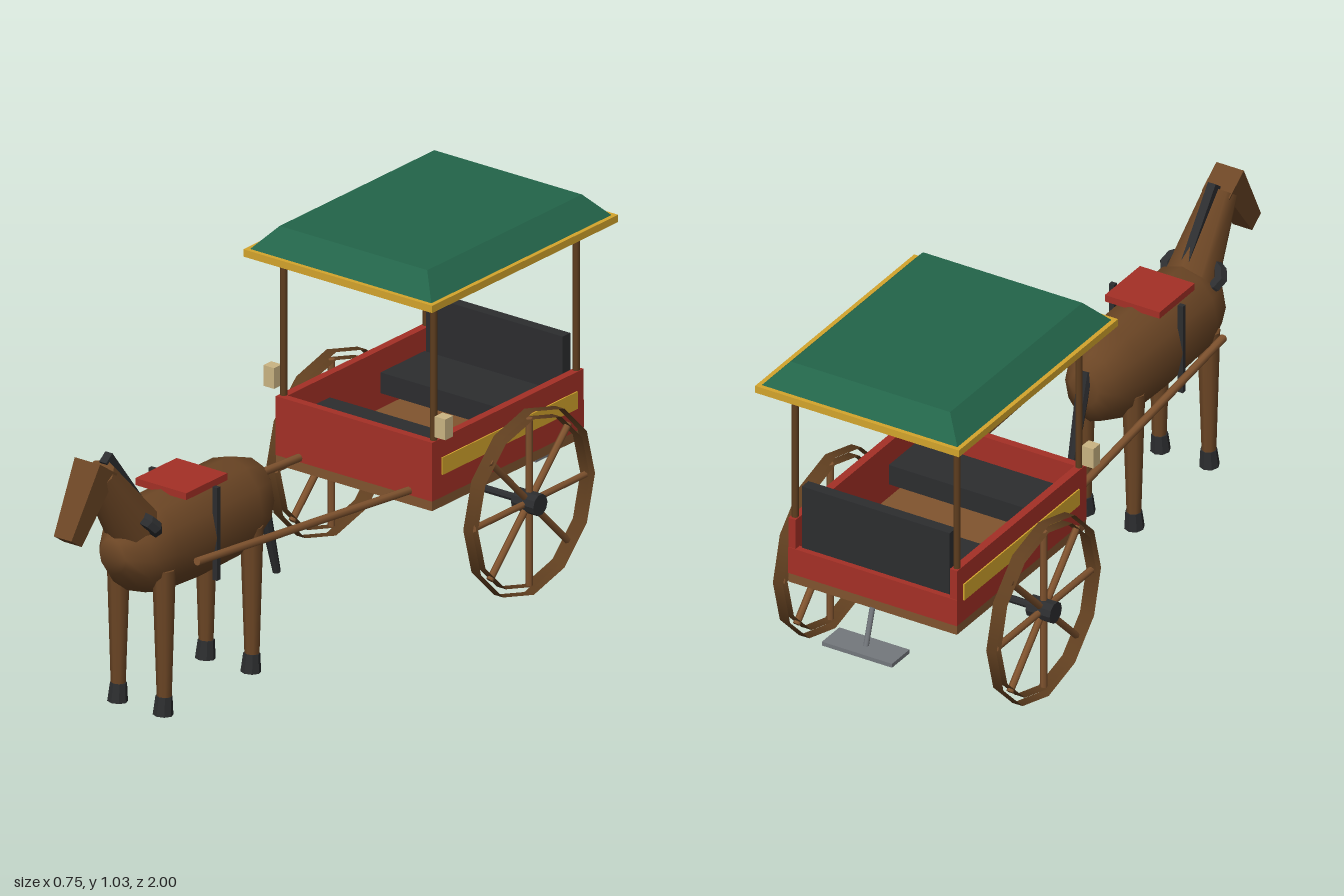
import * as THREE from 'three';

const mat = (name, color, extra = {}) => {
  const m = new THREE.MeshStandardMaterial({ color, ...extra });
  m.name = name;
  return m;
};

export function createModel() {
  const root = new THREE.Group();
  const flat = { flatShading: true };
  const red = mat('red paint', 0xa53026);
  const green = mat('canopy green', 0x23654a, flat);
  const yellow = mat('yellow trim', 0xd4a52c);
  const black = mat('black leather', 0x2c2d2f, flat);
  const wood = mat('light wood', 0x81542f);
  const darkWood = mat('dark wood', 0x5f3e1f, { side: THREE.DoubleSide });
  const coat = mat('brown coat', 0x6c4625);
  const lampMat = mat('lamp cream', 0xcbb583);
  const steel = mat('step grey', 0x74787d);

  const V = (x, y, z) => new THREE.Vector3(x, y, z);
  const add = (name, geo, material, parent = root) => {
    const m = new THREE.Mesh(geo, material);
    m.name = name;
    parent.add(m);
    return m;
  };
  // Box given by its limits on each axis
  const box = (name, material, x0, x1, y0, y1, z0, z1) => {
    const m = add(name, new THREE.BoxGeometry(x1 - x0, y1 - y0, z1 - z0), material);
    m.position.set((x0 + x1) / 2, (y0 + y1) / 2, (z0 + z1) / 2);
    return m;
  };
  // Tapered rod from a to b
  const rod = (name, material, a, b, ra, rb = ra, sides = 8, parent = root) => {
    const m = add(name, new THREE.CylinderGeometry(rb, ra, a.distanceTo(b), sides), material, parent);
    m.position.copy(a).add(b).multiplyScalar(0.5);
    m.quaternion.setFromUnitVectors(V(0, 1, 0), b.clone().sub(a).normalize());
    return m;
  };
  // Tapered box: half sizes of the lower and upper faces
  const taperedBox = (h, x0, z0, x1, z1) => {
    const g = new THREE.BoxGeometry(2, h, 2);
    const p = g.attributes.position;
    for (let i = 0; i < p.count; i++) {
      const top = p.getY(i) > 0;
      p.setX(i, p.getX(i) * (top ? x1 : x0));
      p.setZ(i, p.getZ(i) * (top ? z1 : z0));
    }
    g.computeVertexNormals();
    return g;
  };

  // Canopy
  box('canopyTrim', yellow, -0.32, 0.32, 0.942, 0.963, -1.0, -0.194);
  add('canopyRoof', taperedBox(0.063, 0.307, 0.39, 0.25, 0.335), green).position.set(0, 0.9945, -0.597);

  // Cart body
  box('chassis', wood, -0.264, 0.264, 0.332, 0.362, -0.92, -0.265);
  box('frontWall', red, -0.265, 0.265, 0.36, 0.53, -0.287, -0.264);
  box('backWall', red, -0.265, 0.265, 0.36, 0.44, -0.922, -0.9);
  box('frontBench', black, -0.235, 0.235, 0.41, 0.47, -0.46, -0.31);
  box('rearBench', black, -0.235, 0.235, 0.41, 0.47, -0.87, -0.68);
  box('seatBack', black, -0.232, 0.232, 0.43, 0.63, -0.905, -0.872);

  // Rear step
  box('stepPlate', steel, -0.11, 0.11, 0.222, 0.234, -1.0, -0.912);
  rod('stepBracket', steel, V(0, 0.335, -0.922), V(0, 0.23, -0.955), 0.008);

  // Axle
  rod('axle', black, V(-0.31, 0.27, -0.595), V(0.31, 0.27, -0.595), 0.011);

  for (const s of [1, -1]) {
    const side = (name, m, x0, x1, ...r) =>
      box(name, m, Math.min(s * x0, s * x1), Math.max(s * x0, s * x1), ...r);
    side('sideWall', red, 0.242, 0.265, 0.36, 0.53, -0.92, -0.265);
    side('sideStripe', yellow, 0.262, 0.269, 0.425, 0.475, -0.89, -0.305);
    side('lamp', lampMat, 0.272, 0.308, 0.548, 0.608, -0.3, -0.266);
    side('axleBracket', black, 0.125, 0.141, 0.275, 0.335, -0.605, -0.585);
    for (const z of [-0.285, -0.903]) {
      rod('canopyPost', darkWood, V(s * 0.254, 0.5, z), V(s * 0.254, 0.945, z), 0.01);
    }
    rod('shaft', wood, V(s * 0.186, 0.372, -0.268), V(s * 0.152, 0.444, 0.61), 0.0115);

    // Wheel: two open bands, eight spokes and a hub
    const wheel = new THREE.Group();
    wheel.name = 'wheel';
    wheel.position.set(s * 0.335, 0.27, -0.595);
    root.add(wheel);
    for (const r of [0.265, 0.242]) {
      const g = new THREE.CylinderGeometry(r, r, 0.032, 12, 1, true).rotateZ(Math.PI / 2);
      add('rimBand', g, darkWood, wheel);
    }
    for (let i = 0; i < 8; i++) {
      const a = (i * Math.PI) / 4;
      rod('spoke', wood, V(0, 0, 0), V(0, Math.cos(a) * 0.242, Math.sin(a) * 0.242), 0.01, 0.01, 6, wheel);
    }
    rod('hub', black, V(-0.038, 0, 0), V(0.038, 0, 0), 0.031, 0.031, 10, wheel);

    // Horse legs and hooves
    for (const z of [0.657, 0.277]) {
      rod('leg', coat, V(s * 0.078, 0.04, z), V(s * 0.077, 0.42, z), 0.02, 0.032);
      rod('hoof', black, V(s * 0.077, 0, z + 0.004), V(s * 0.077, 0.053, z), 0.028, 0.023);
    }
    side('girthStrap', black, 0.1, 0.116, 0.335, 0.603, 0.463, 0.477);
  }

  // Horse body: elliptical rings along z as [z, centre y, half width, half height]
  const rings = [
    [0.148, 0.475, 0.045, 0.055], [0.18, 0.46, 0.078, 0.105], [0.275, 0.46, 0.113, 0.14],
    [0.48, 0.459, 0.116, 0.143], [0.64, 0.464, 0.115, 0.138], [0.72, 0.464, 0.092, 0.105],
    [0.78, 0.475, 0.045, 0.05],
  ];
  const N = 12, pos = [], idx = [];
  for (const [z, cy, rx, ry] of rings) {
    for (let i = 0; i < N; i++) {
      const a = (i / N) * Math.PI * 2;
      pos.push(Math.cos(a) * rx, cy + Math.sin(a) * ry, z);
    }
  }
  for (let r = 0; r < rings.length - 1; r++) {
    for (let i = 0; i < N; i++) {
      const a = r * N + i, b = r * N + ((i + 1) % N);
      idx.push(a, b, b + N, a, b + N, a + N);
    }
  }
  const last = (rings.length - 1) * N;
  for (let i = 1; i < N - 1; i++) idx.push(0, i + 1, i, last, last + i, last + i + 1);
  const body = new THREE.BufferGeometry();
  body.setAttribute('position', new THREE.Float32BufferAttribute(pos, 3));
  body.setIndex(idx);
  body.computeVertexNormals();
  add('horseBody', body, coat);

  // Neck, head and mane
  rod('neck', coat, V(0, 0.5, 0.665), V(0, 0.735, 0.845), 0.083, 0.048);
  const head = add('head', taperedBox(0.218, 0.03, 0.027, 0.043, 0.045), coat);
  head.position.set(0, 0.672, 0.914);
  head.rotation.x = Math.PI - Math.atan2(0.122, -0.18);
  head.rotation.x = -Math.atan2(0.122, 0.18);
  const mane = add('mane', new THREE.BoxGeometry(0.024, 0.22, 0.034), black);
  mane.position.set(0, 0.685, 0.743);
  mane.rotation.x = Math.atan2(0.14, 0.18);

  // Harness collar, saddle pad and tail
  const collar = add('collar', new THREE.TorusGeometry(0.085, 0.02, 6, 12).scale(1, 0.6, 1), black);
  collar.position.set(0, 0.557, 0.705);
  collar.rotation.x = Math.atan2(0.08, 0.09);
  box('saddlePad', red, -0.086, 0.086, 0.592, 0.612, 0.394, 0.572);
  rod('tail', black, V(0, 0.2, 0.07), V(0, 0.525, 0.158), 0.011, 0.021);

  return root;
}
